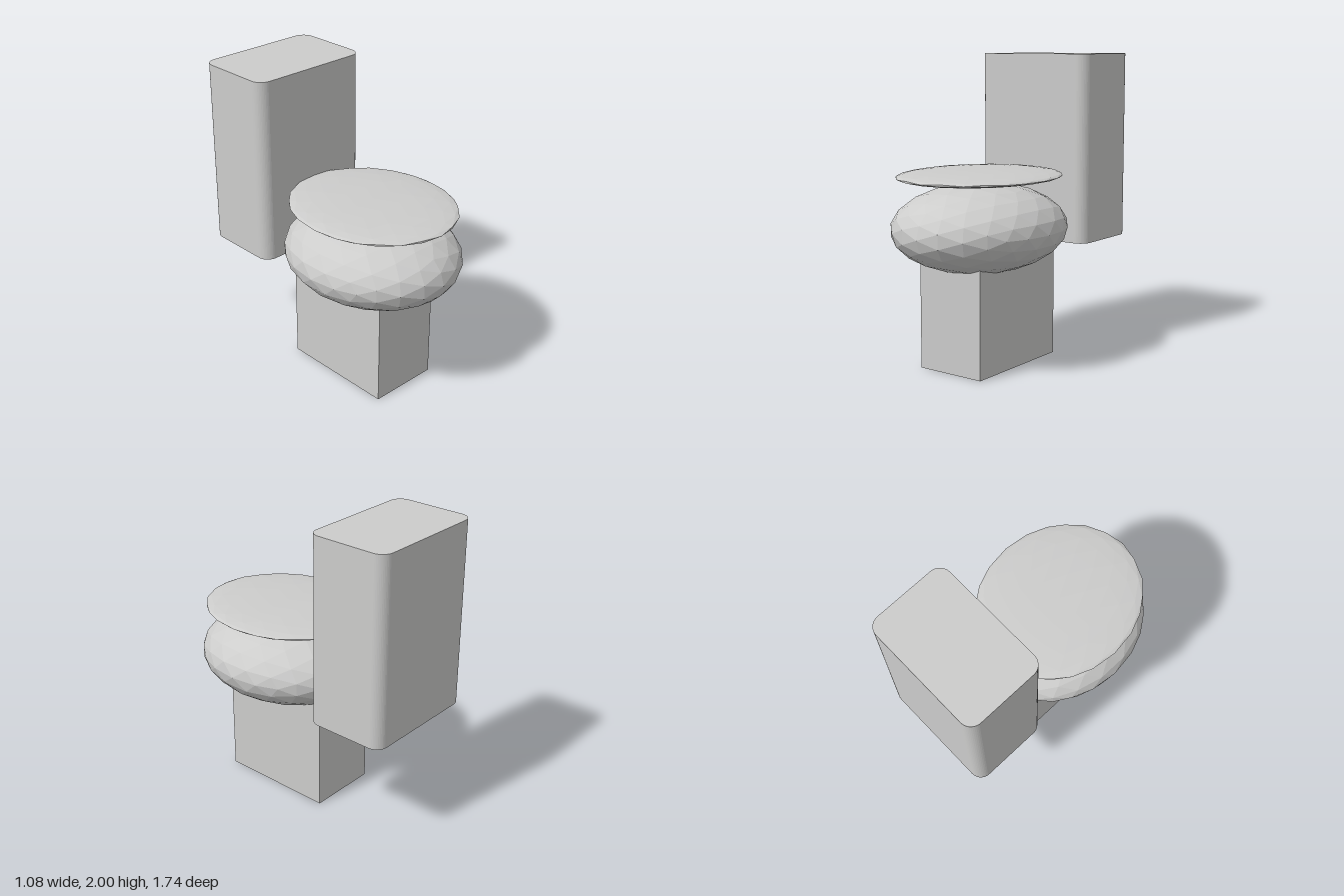
import * as THREE from 'three';

export function createModel() {
  const group = new THREE.Group();
  const ceramic = new THREE.MeshStandardMaterial({ color: 0xcccccb });
  ceramic.name = 'ceramic';
  ceramic.flatShading = true;

  function add(name, geometry, x, y, z) {
    const mesh = new THREE.Mesh(geometry, ceramic);
    mesh.name = name;
    mesh.position.set(x, y, z);
    group.add(mesh);
  }

  // Faceted ellipsoid with the given radii
  const ellipsoid = (rx, ry, rz) => new THREE.IcosahedronGeometry(1, 3).scale(rx, ry, rz);

  // Pedestal, its top sunk into the bowl
  add('pedestal', new THREE.BoxGeometry(0.48, 0.745, 0.8), 0, 0.3725, 0.16);

  // Bowl and flat lid
  add('bowl', ellipsoid(0.538, 0.286, 0.62), 0, 0.903, 0.25);
  add('lid', ellipsoid(0.503, 0.041, 0.582), 0, 1.236, 0.25);

  // Tank: rounded rectangle extruded upward
  const w = 0.43, d = 0.28, r = 0.08;
  const outline = new THREE.Shape();
  outline.absarc(w - r, d - r, r, 0, Math.PI / 2);
  outline.absarc(-w + r, d - r, r, Math.PI / 2, Math.PI);
  outline.absarc(-w + r, -d + r, r, Math.PI, Math.PI * 1.5);
  outline.absarc(w - r, -d + r, r, Math.PI * 1.5, Math.PI * 2);
  outline.closePath();
  const tank = new THREE.ExtrudeGeometry(outline, { depth: 1.25, bevelEnabled: false, curveSegments: 6 });
  tank.rotateX(-Math.PI / 2);
  add('tank', tank, 0, 0.75, -0.59);

  return group;
}
